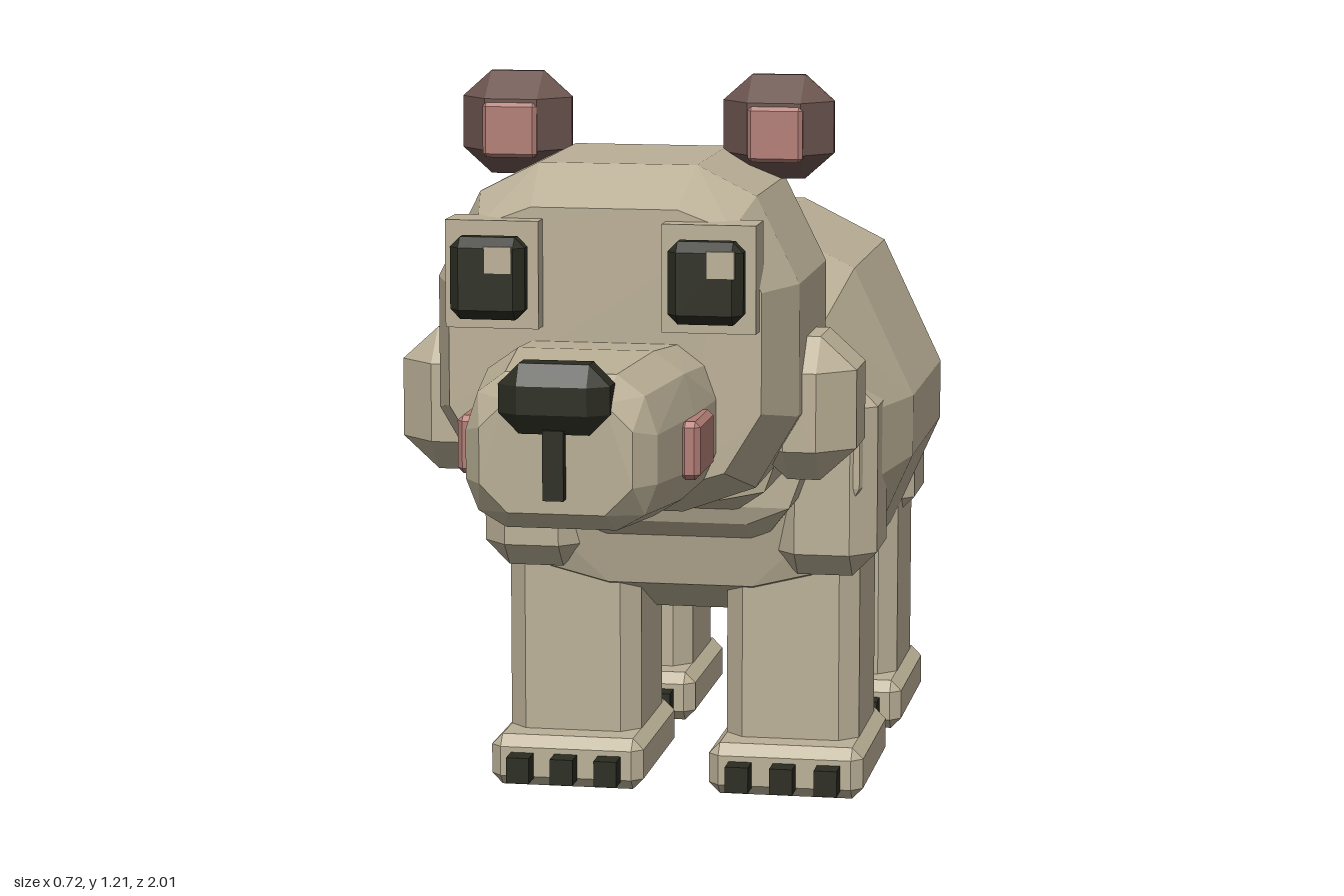
import * as THREE from 'three';
import { ConvexGeometry } from 'three/addons/geometries/ConvexGeometry.js';

const mat = (name, color) => {
  const m = new THREE.MeshStandardMaterial({ color });
  m.name = name;
  return m;
};

// Faceted solid from half cross-sections [x, y, z], mirrored in x
function loft(sections) {
  const pts = [];
  for (const ring of sections) {
    for (const [x, y, z] of ring) {
      pts.push(new THREE.Vector3(x, y, z));
      if (x) pts.push(new THREE.Vector3(-x, y, z));
    }
  }
  return new ConvexGeometry(pts);
}

// Box with all edges and corners chamfered by c (a number, or one per axis)
function chamferBox(w, h, d, c) {
  const [cx, cy, cz] = Array.isArray(c) ? c : [c, c, c];
  const pts = [];
  for (const sx of [-1, 1]) for (const sy of [-1, 1]) for (const sz of [-1, 1]) {
    const X = w / 2, Y = h / 2, Z = d / 2;
    pts.push(new THREE.Vector3(sx * X, sy * (Y - cy), sz * (Z - cz)));
    pts.push(new THREE.Vector3(sx * (X - cx), sy * Y, sz * (Z - cz)));
    pts.push(new THREE.Vector3(sx * (X - cx), sy * (Y - cy), sz * Z));
  }
  return new ConvexGeometry(pts);
}

// Upright post with chamfered vertical edges
function post(w, h, d, c) {
  const pts = [];
  for (const sx of [-1, 1]) for (const sz of [-1, 1]) for (const y of [-h / 2, h / 2]) {
    pts.push(new THREE.Vector3(sx * w / 2, y, sz * (d / 2 - c)));
    pts.push(new THREE.Vector3(sx * (w / 2 - c), y, sz * d / 2));
  }
  return new ConvexGeometry(pts);
}

export function createModel() {
  const fur = mat('fur', 0xbbb097);
  const brown = mat('earBrown', 0x6c554f);
  const pink = mat('pink', 0xb27d75);
  const dark = mat('darkGreen', 0x2a2b20);
  const pad = mat('padBlack', 0x191a14);

  const model = new THREE.Group();
  model.name = 'bear';
  const add = (name, geo, material, x = 0, y = 0, z = 0, parent = model) => {
    const m = new THREE.Mesh(geo, material);
    m.name = name;
    m.position.set(x, y, z);
    parent.add(m);
    return m;
  };

  // Torso
  const middle = z => [[0.12, 0.92, z], [0.26, 0.85, z], [0.36, 0.64, z], [0.36, 0.54, z], [0.28, 0.36, z], [0.12, 0.27, z]];
  add('body', loft([
    [[0.12, 0.82, 0], [0.24, 0.79, -0.01], [0.3, 0.64, 0], [0.3, 0.52, 0], [0.22, 0.37, -0.04], [0.12, 0.345, -0.04]],
    middle(-0.22),
    middle(-0.61),
    [[0.12, 0.84, -0.82], [0.23, 0.8, -0.82], [0.28, 0.64, -0.82], [0.28, 0.52, -0.82], [0.22, 0.37, -0.8], [0.12, 0.345, -0.82]],
    [[0.11, 0.68, -0.875], [0.13, 0.6, -0.885], [0.11, 0.51, -0.885]],
  ]), fur);

  // Neck in two overlapping bands
  add('collar', loft([
    [[0.12, 0.89, 0], [0.2, 0.85, 0.02], [0.23, 0.7, 0.03], [0.23, 0.6, 0.03], [0.19, 0.49, 0.03], [0.12, 0.46, 0.02]],
    [[0.12, 0.86, -0.14], [0.2, 0.82, -0.12], [0.24, 0.68, -0.1], [0.24, 0.55, -0.08], [0.12, 0.4, -0.06]],
  ]), fur);
  add('neck', loft([
    [[0.11, 0.92, 0.16], [0.18, 0.87, 0.16], [0.21, 0.75, 0.17], [0.2, 0.62, 0.17], [0.17, 0.54, 0.16], [0.1, 0.525, 0.16]],
    [[0.11, 0.87, -0.01], [0.18, 0.84, -0.01], [0.21, 0.7, 0], [0.2, 0.57, 0], [0.1, 0.48, 0.01]],
  ]), fur);

  // Head
  const skull = z => [[0.12, 1.095, z], [0.21, 1.05, z], [0.275, 0.92, z], [0.275, 0.72, z], [0.21, 0.61, z], [0.1, 0.57, z]];
  add('head', loft([
    [[0.11, 1.04, 0.61], [0.19, 1.01, 0.61], [0.235, 0.92, 0.61], [0.235, 0.74, 0.61], [0.18, 0.65, 0.61], [0.1, 0.625, 0.61]],
    skull(0.5),
    skull(0.22),
    [[0.11, 1.06, 0.15], [0.18, 1.01, 0.14], [0.22, 0.88, 0.12], [0.22, 0.74, 0.12], [0.17, 0.65, 0.14], [0.1, 0.61, 0.16]],
  ]), fur);

  // Snout
  add('snout', loft([
    [[0.11, 0.84, 0.6], [0.15, 0.81, 0.6], [0.168, 0.76, 0.6], [0.168, 0.68, 0.6], [0.15, 0.64, 0.6], [0.11, 0.615, 0.6]],
    [[0.1, 0.852, 0.75], [0.145, 0.82, 0.75], [0.16, 0.76, 0.75], [0.16, 0.68, 0.75], [0.14, 0.635, 0.75], [0.1, 0.61, 0.75]],
    [[0.08, 0.845, 0.93], [0.12, 0.815, 0.93], [0.138, 0.76, 0.93], [0.138, 0.69, 0.93], [0.12, 0.645, 0.93], [0.08, 0.622, 0.93]],
    [[0.07, 0.81, 0.975], [0.11, 0.77, 0.97], [0.11, 0.69, 0.97], [0.07, 0.65, 0.97]],
  ]), fur);
  add('nose', chamferBox(0.16, 0.1, 0.075, [0.03, 0.03, 0.02]), dark, 0, 0.815, 0.962);
  add('muzzleLine', new THREE.BoxGeometry(0.03, 0.1, 0.02), dark, 0, 0.722, 0.98);

  for (const s of [1, -1]) {
    // Face details
    add('brow', new THREE.BoxGeometry(0.14, 0.16, 0.07), fur, s * 0.162, 0.943, 0.608);
    add('eye', chamferBox(0.112, 0.122, 0.05, 0.015), dark, s * 0.162, 0.941, 0.663);
    add('eyeHighlight', new THREE.BoxGeometry(0.041, 0.04, 0.008), fur, s * 0.165 + 0.022, 0.97, 0.688);
    add('cheek', chamferBox(0.16, 0.22, 0.2, [0.055, 0.05, 0.05]), fur, s * 0.271, 0.72, 0.37);
    add('blush', chamferBox(0.03, 0.085, 0.125, 0.008), pink, s * 0.163, 0.717, 0.75);

    // Ears
    add('ear', chamferBox(0.172, 0.16, 0.11, [0.045, 0.04, 0.05]), brown, s * 0.205, 1.13, 0.25);
    add('innerEar', chamferBox(0.085, 0.085, 0.04, 0.006), pink, s * 0.207, 1.122, 0.291);

    // Shoulders and hips
    add('shoulder', chamferBox(0.17, 0.32, 0.2, 0.04), fur, s * 0.24, 0.53, -0.095);
    add('hip', chamferBox(0.16, 0.34, 0.22, 0.04), fur, s * 0.232, 0.52, -0.715);

    // Legs, feet, pads and claws
    for (const [label, z] of [['front', -0.145], ['rear', -0.645]]) {
      const leg = new THREE.Group();
      leg.name = label + 'Leg';
      leg.position.set(s * 0.182, 0, z);
      model.add(leg);
      add('limb', post(0.22, 0.44, 0.25, 0.03), fur, 0, 0.29, -0.027, leg);
      add('foot', chamferBox(0.255, 0.085, 0.325, 0.018), fur, 0, 0.048, -0.001, leg);
      add('pad', new THREE.BoxGeometry(0.17, 0.008, 0.23), pad, 0, 0.004, 0, leg);
      for (const i of [-1, 0, 1]) {
        add('claw', new THREE.BoxGeometry(0.038, 0.043, 0.05), dark, i * 0.073, 0.042, 0.175, leg);
      }
    }
  }

  // Tail
  add('tailBase', chamferBox(0.12, 0.1, 0.12, 0.03), fur, 0, 0.68, -0.9).rotation.x = -0.6;
  add('tailTip', chamferBox(0.095, 0.13, 0.075, 0.025), fur, 0, 0.63, -0.955).rotation.x = 0.45;

  return model;
}
